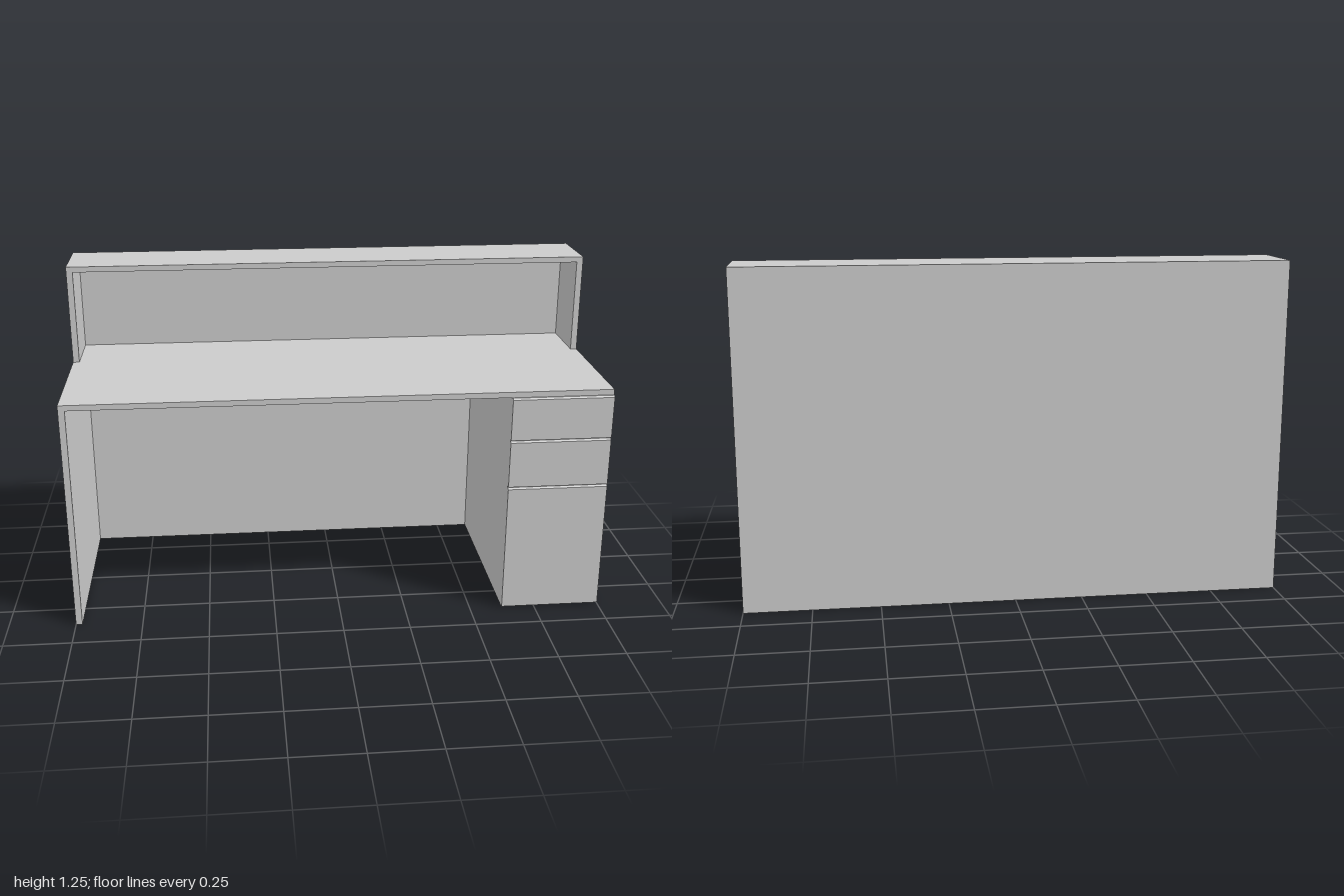
import * as THREE from 'three';

const material = new THREE.MeshStandardMaterial({ color: 0xcccccc, flatShading: true });

// Overall measures
const BACK = -0.38, FRONT = 0.37, HUTCH_FRONT = -0.13;
const DESK_Y = 0.876, TOP_Y = 1.253;
const SIDE = 0.024, BOARD = 0.021;

function add(parent, name, geometry) {
  const mesh = new THREE.Mesh(geometry, material);
  mesh.name = name;
  parent.add(mesh);
  return mesh;
}

// Box given by its lower and upper corners
function board(parent, name, [x0, y0, z0], [x1, y1, z1]) {
  const mesh = add(parent, name, new THREE.BoxGeometry(x1 - x0, y1 - y0, z1 - z0));
  mesh.position.set((x0 + x1) / 2, (y0 + y1) / 2, (z0 + z1) / 2);
}

// Side-view outline of [z, y] points, extruded from x0 to x1
function profile(parent, name, points, x0, x1) {
  const shape = new THREE.Shape(points.map(([z, y]) => new THREE.Vector2(-z, y)));
  const geometry = new THREE.ExtrudeGeometry(shape, { depth: x1 - x0, bevelEnabled: false });
  geometry.rotateY(Math.PI / 2).translate(x0, 0, 0);
  // rotating by 90 degrees sends shape x to -z and depth to +x
  add(parent, name, geometry);
}

export function createModel() {
  const desk = new THREE.Group();
  desk.name = 'receptionDesk';

  // Stepped end panels, low in front and high behind
  const outline = [
    [BACK, 0], [FRONT, 0], [FRONT, DESK_Y], [HUTCH_FRONT, DESK_Y],
    [HUTCH_FRONT, TOP_Y], [BACK, TOP_Y],
  ];
  profile(desk, 'rightEndPanel', outline, -1, -1 + SIDE);
  profile(desk, 'leftEndPanel', outline, 1 - SIDE, 1);

  // Boards between the end panels
  const inner = 1 - SIDE;
  board(desk, 'backPanel', [-inner, 0, BACK], [inner, TOP_Y, BACK + BOARD]);
  board(desk, 'worktop', [-inner, DESK_Y - BOARD, BACK + BOARD], [inner, DESK_Y, FRONT]);
  board(desk, 'counterTop', [-inner, TOP_Y - BOARD, BACK + BOARD], [inner, TOP_Y, HUTCH_FRONT]);

  // Drawer pedestal under the worktop
  const pedestal = new THREE.Group();
  pedestal.name = 'drawerPedestal';
  desk.add(pedestal);
  const pedestalX = 0.624;
  board(pedestal, 'pedestalBody', [pedestalX, 0, BACK + BOARD], [inner, DESK_Y - BOARD, FRONT]);

  // Drawer fronts with a bevelled upper edge as finger grip
  const drawers = [
    ['topDrawerFront', 0.692, 0.855],
    ['middleDrawerFront', 0.506, 0.688],
    ['bottomDrawerFront', 0.004, 0.502],
  ];
  for (const [name, y0, y1] of drawers) {
    profile(pedestal, name, [
      [FRONT, y0], [0.382, y0], [0.382, y1 - 0.006], [FRONT + 0.005, y1], [FRONT, y1],
    ], pedestalX, 1);
  }

  return desk;
}
